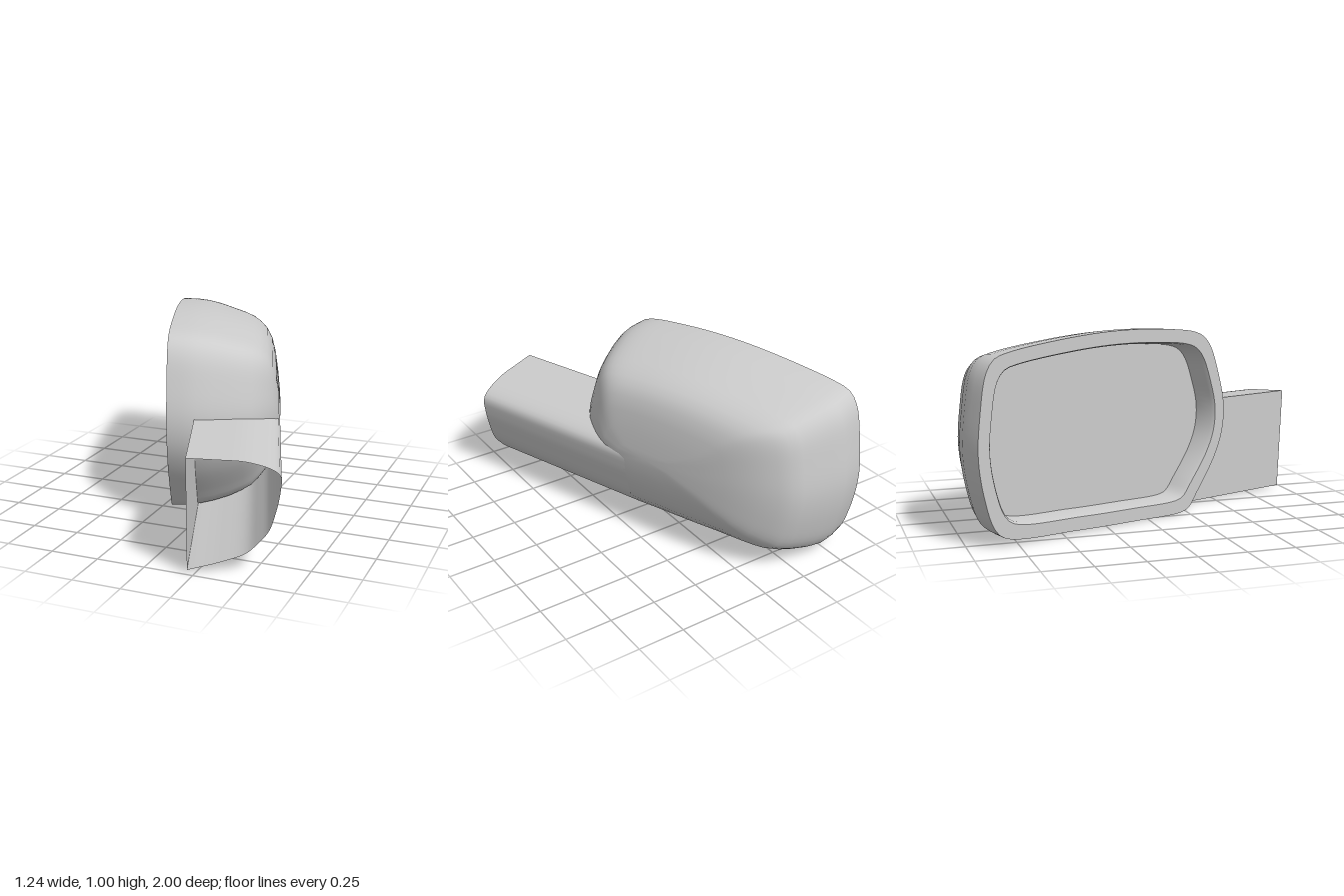
import * as THREE from 'three';
import { toCreasedNormals } from 'three/addons/utils/BufferGeometryUtils.js';

// Joins closed rings of equal length into one skin
function loft(rings, crease) {
  const n = rings[0].length;
  const index = [];
  for (let i = 0; i < rings.length - 1; i++) {
    for (let j = 0; j < n; j++) {
      const k = (j + 1) % n;
      const a = i * n + j, b = i * n + k, c = (i + 1) * n + k, d = (i + 1) * n + j;
      index.push(a, d, b, b, d, c);
    }
  }
  const geometry = new THREE.BufferGeometry().setFromPoints(rings.flat());
  geometry.setIndex(index);
  return toCreasedNormals(geometry, crease);
}

// Smooth curve through [x, y] pairs
const curve = (points, closed) => new THREE.CatmullRomCurve3(
  points.map(([x, y]) => new THREE.Vector3(x, y, 0)), closed, 'centripetal');

// Front outline of the housing: x along the mirror, y up
const OUTLINE = [
  [0.47, 0.002], [0.52, 0.02], [0.58, 0.1], [0.7, 0.28], [0.755, 0.42], [0.764, 0.57],
  [0.72, 0.75], [0.67, 0.88], [0.62, 0.94], [0.55, 0.97], [0.31, 0.995], [0.04, 1],
  [-0.25, 0.98], [-0.6, 0.93], [-0.67, 0.905], [-0.715, 0.84], [-0.75, 0.65],
  [-0.764, 0.45], [-0.735, 0.25], [-0.68, 0.09], [-0.62, 0.04], [-0.2, 0.012], [0.15, 0.003],
];

// Housing sections: depth, x range, y range
const SECTIONS = [
  [0, -0.764, 0.764, 0, 1],
  [0.08, -0.768, 0.768, 0.003, 0.997],
  [0.15, -0.764, 0.762, 0.01, 0.988],
  [0.23, -0.735, 0.74, 0.025, 0.97],
  [0.31, -0.695, 0.712, 0.047, 0.945],
  [0.38, -0.662, 0.682, 0.075, 0.922],
  [0.43, -0.628, 0.652, 0.1, 0.9],
  [0.47, -0.57, 0.615, 0.14, 0.875],
  [0.505, -0.495, 0.57, 0.18, 0.845],
  [0.535, -0.41, 0.525, 0.235, 0.795],
  [0.555, -0.31, 0.485, 0.3, 0.72],
  [0.57, -0.19, 0.44, 0.37, 0.62],
  [0.58, 0, 0.34, 0.45, 0.53],
  [0.582, 0.17, 0.17, 0.49, 0.49],
];

// Arm profile: depth, height
const ARM = [
  [0.14, 0.572], [0.28, 0.562], [0.4, 0.552], [0.47, 0.535], [0.535, 0.51], [0.575, 0.475],
  [0.574, 0.4], [0.555, 0.3], [0.522, 0.2], [0.473, 0.14], [0.419, 0.09], [0.293, 0.045], [0.14, 0.008],
];

export function createModel() {
  const model = new THREE.Group();
  model.name = 'sideMirror';
  const material = new THREE.MeshStandardMaterial({ color: 0xcccccc, side: THREE.DoubleSide });

  // Local frame: x along the mirror, z out of the glass
  const body = new THREE.Group();
  body.name = 'mirrorBody';
  body.rotation.y = Math.atan2(-0.943, 0.334);
  body.position.set(-0.365, 0, -0.23);
  model.add(body);

  const add = (name, geometry) => {
    const mesh = new THREE.Mesh(geometry, material);
    mesh.name = name;
    body.add(mesh);
    return mesh;
  };

  const outline = curve(OUTLINE, true).getSpacedPoints(120).slice(0, -1);
  const section = ([w, u0, u1, y0, y1]) => outline.map(p => new THREE.Vector3(
    THREE.MathUtils.mapLinear(p.x, -0.764, 0.764, u0, u1),
    THREE.MathUtils.mapLinear(p.y, 0, 1, y0, y1), -w));

  // Housing: recess wall, softened inner edge, flat rim, then the rounded shell
  const recess = section([0.125, -0.675, 0.675, 0.085, 0.915]);
  add('housing', loft([
    recess,
    section([0.02, -0.69, 0.69, 0.077, 0.925]),
    section([0, -0.702, 0.702, 0.07, 0.932]),
    ...SECTIONS.map(section),
  ], 0.75));

  // Glass set back in the recess
  const glass = add('mirrorGlass',
    new THREE.ShapeGeometry(new THREE.Shape(recess.map(p => new THREE.Vector2(p.x, p.y)))));
  glass.position.z = -0.125;

  // Hollow mounting arm, open at its slanted end
  const profile = curve(ARM, false).getSpacedPoints(48);
  const armRing = (u, slant) => profile.map(({ x: w, y }) => new THREE.Vector3(
    u - slant * (0.08 * (w - 0.14) + 0.05 * (0.57 - y)), y, -w));
  add('mountingArm', loft([armRing(0.3, 0), armRing(0.8, 0), armRing(1.355, 1)], 0.6));

  return model;
}
